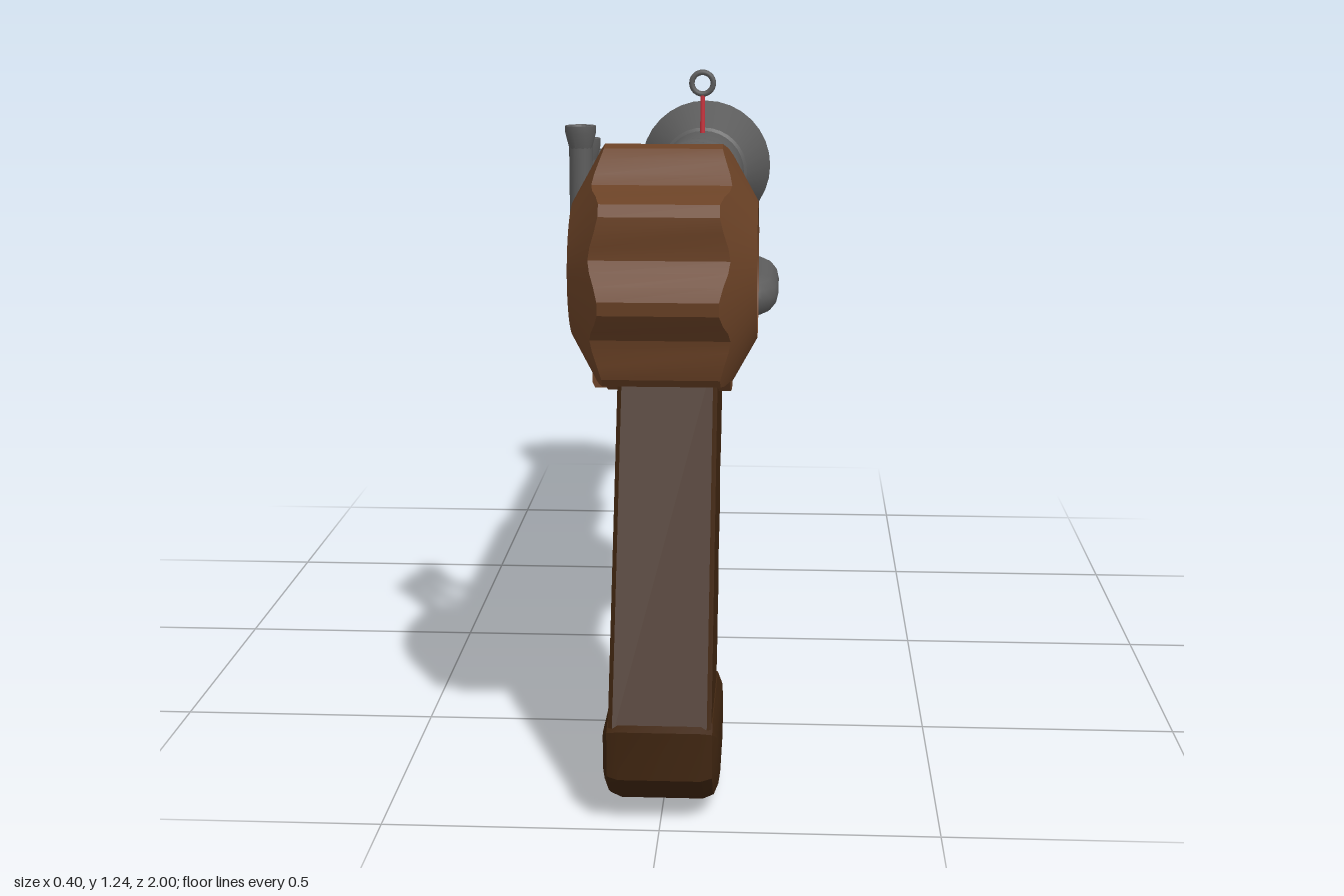
import * as THREE from 'three';
import { toCreasedNormals } from 'three/addons/utils/BufferGeometryUtils.js';

const mat = (color, extra = {}) => new THREE.MeshStandardMaterial({ color, ...extra });
const V = (x, y, z) => new THREE.Vector3(x, y, z);

export function createModel() {
  const group = new THREE.Group();
  const wood = mat(0x6b4226), woodFlat = mat(0x6b4226, { flatShading: true });
  const darkWood = mat(0x3f2510), metal = mat(0x5c5c5c), red = mat(0xc9343f);

  const add = (name, geometry, material, x = 0, y = 0, z = 0) => {
    const mesh = new THREE.Mesh(geometry, material);
    mesh.name = name;
    mesh.position.set(x, y, z);
    group.add(mesh);
    return mesh;
  };
  const shapeOf = (pts) => new THREE.Shape(pts.map(([a, b]) => new THREE.Vector2(a, b)));

  // Side profile of [z, y] points, extruded across x between -half and +half
  const sideExtrude = (pts, half, bevel, bevelSegments = 2, crease = 0.5) => {
    const g = new THREE.ExtrudeGeometry(shapeOf(pts), {
      depth: 2 * (half - bevel), bevelEnabled: bevel > 0, bevelSize: bevel,
      bevelThickness: bevel, bevelOffset: -bevel, bevelSegments,
    });
    g.translate(0, 0, -(half - bevel));
    g.rotateY(-Math.PI / 2);
    return toCreasedNormals(g, crease);
  };

  // Lathe of [radius, distance forward] points, pointing along -z
  const forwardLathe = (pts, segments = 32) => {
    const g = new THREE.LatheGeometry(pts.map(([r, d]) => new THREE.Vector2(r, d)), segments);
    g.rotateX(-Math.PI / 2);
    return toCreasedNormals(g, 0.5);
  };

  // Tube along straight runs with rounded corners
  const bentTube = (pts, radius, bend) => {
    const path = new THREE.CurvePath();
    let from = pts[0];
    for (let i = 1; i < pts.length - 1; i++) {
      const before = pts[i].clone().add(pts[i - 1].clone().sub(pts[i]).setLength(bend));
      const after = pts[i].clone().add(pts[i + 1].clone().sub(pts[i]).setLength(bend));
      path.add(new THREE.LineCurve3(from, before));
      path.add(new THREE.QuadraticBezierCurve3(before, pts[i], after));
      from = after;
    }
    path.add(new THREE.LineCurve3(from, pts[pts.length - 1]));
    return new THREE.TubeGeometry(path, 40, radius, 14, false);
  };

  const axisY = 0.975;

  // Body: rounded top, side panel on the right, notch on the left for the handle
  const section = (notched) => {
    const pts = [[-0.145, 0.72], [0.11, 0.72], [0.115, 0.73]];
    if (notched) pts.push([0.115, 0.79], [0.05, 0.79], [0.05, 0.915], [0.115, 0.915]);
    for (let i = 0; i <= 8; i++) {
      const a = (i / 8) * Math.PI;
      pts.push([0.115 * Math.cos(a), axisY + 0.115 * Math.sin(a)]);
    }
    pts.push([-0.15, 0.91], [-0.15, 0.73]);
    return shapeOf(pts);
  };
  [['bodyRear', 0.47, 0.61, false], ['bodyMiddle', 0.04, 0.47, true], ['bodyFront', -0.14, 0.04, false]]
    .forEach(([name, z0, z1, notched]) => {
      const g = new THREE.ExtrudeGeometry(section(notched), { depth: z1 - z0, bevelEnabled: false });
      add(name, g, woodFlat, 0, 0, z0);
    });
  add('bodyTail', sideExtrude([[0.58, 0.72], [0.62, 0.722], [0.67, 0.73], [0.71, 0.745],
    [0.75, 0.785], [0.75, 0.95], [0.58, 0.95]], 0.115, 0), wood);

  // Scalloped wheel: teeth around the rear, plain rim where it meets the body
  const wheelZ = 0.766, steps = 60;
  const rim = (deg) => (deg <= 139 ? 0.217 + 0.017 * Math.cos(((deg - 76) / 42) * 2 * Math.PI) : 0.2);
  const rings = [
    () => [0.148, 0.114], () => [0.165, 0.122],
    (R) => [0.165 - (R - 0.122) * 0.56, R],
    (R) => [-0.165 + (R - 0.122) * 0.56, R],
    () => [-0.165, 0.122], () => [-0.148, 0.114],
  ];
  const pos = [], idx = [];
  rings.forEach((ring, i) => {
    for (let j = 0; j < steps; j++) {
      const deg = -71 + j * 6, a = (deg * Math.PI) / 180;
      const [x, r] = ring(rim(deg));
      pos.push(x, r * Math.sin(a), r * Math.cos(a));
      if (i === rings.length - 1) continue;
      const p = i * steps + j, q = i * steps + ((j + 1) % steps);
      idx.push(p, q, p + steps, p + steps, q, q + steps);
    }
  });
  const wheel = new THREE.BufferGeometry();
  wheel.setAttribute('position', new THREE.Float32BufferAttribute(pos, 3));
  wheel.setIndex(idx);
  add('wheel', toCreasedNormals(wheel, 0.25), wood, 0, axisY, wheelZ);
  const disc = new THREE.CylinderGeometry(0.118, 0.118, 0.308, 40);
  add('wheelDiscs', disc, red, 0, axisY, wheelZ).rotation.z = Math.PI / 2;

  // Barrel with rippled rear part and hollow flared muzzle
  const barrel = [];
  for (let i = 0; i <= 40; i++) {
    const d = 0.13 + i * 0.011;
    barrel.push([0.103 + 0.007 * Math.cos(((d - 0.18) / 0.0875) * 2 * Math.PI), d]);
  }
  barrel.push([0.104, 0.59], [0.104, 0.785], [0.112, 0.79], [0.17, 0.93], [0.112, 1],
    [0.09, 1], [0.085, 0.8], [0.0001, 0.8]);
  add('barrel', forwardLathe(barrel), metal, 0, axisY, 0);
  add('lowerTube', forwardLathe([[0.055, 0.13], [0.057, 0.47], [0.05, 0.548], [0.043, 0.555],
    [0.03, 0.553], [0.026, 0.53], [0.0001, 0.53]], 24), metal, 0, 0.795, 0);

  // Sight pin and ring
  add('sightPin', new THREE.CylinderGeometry(0.006, 0.006, 0.11, 10), red, 0, 1.122, -0.727);
  add('sightRing', new THREE.TorusGeometry(0.027, 0.007, 10, 28), metal, 0, 1.204, -0.727);

  // Side handle in the notch
  add('sideHandle', bentTube([V(0.03, 0.86, 0.41), V(0.16, 0.86, 0.41), V(0.16, 0.86, 0.11),
    V(0.03, 0.86, 0.11)], 0.04, 0.06), metal);

  // Three bent pipes with flared mouths
  [[0.54, 1.21], [0.45, 1.178], [0.357, 1.146]].forEach(([z, top]) => {
    add('pipe', bentTube([V(-0.1, 0.96, z), V(-0.175, 0.96, z), V(-0.175, top - 0.01, z)], 0.022, 0.04), metal);
    const mouth = new THREE.LatheGeometry([[0.021, -0.045], [0.029, -0.014], [0.029, 0], [0.02, 0],
      [0.017, -0.008], [0.0001, -0.008]].map(([r, y]) => new THREE.Vector2(r, y)), 16);
    add('pipeMouth', toCreasedNormals(mouth, 0.5), metal, -0.175, top, z);
  });

  // Trigger guard and trigger
  const guard = new THREE.TorusGeometry(0.15, 0.032, 14, 32, Math.PI);
  guard.rotateZ(Math.PI);
  guard.rotateY(Math.PI / 2);
  add('triggerGuard', guard, metal, 0, 0.725, 0.427);
  add('trigger', sideExtrude([[0.49, 0.74], [0.46, 0.69], [0.41, 0.643], [0.435, 0.642],
    [0.465, 0.67], [0.49, 0.7], [0.52, 0.74]], 0.02, 0), metal);

  // Grip with finger grooves, and its rounded foot
  add('grip', sideExtrude([[0.995, 0.17], [0.72, 0.8], [0.43, 0.8], [0.465, 0.7], [0.50, 0.62],
    [0.535, 0.575], [0.573, 0.545], [0.577, 0.505], [0.572, 0.475], [0.605, 0.435], [0.632, 0.405],
    [0.636, 0.37], [0.63, 0.34], [0.665, 0.305], [0.68, 0.275], [0.682, 0.25], [0.715, 0.215],
    [0.72, 0.17]], 0.092, 0.008, 1), darkWood);
  add('gripFoot', sideExtrude([[1, 0.185], [1, 0.095], [0.96, 0.05], [0.91, 0.022], [0.8, 0],
    [0.675, 0.02], [0.635, 0.06], [0.628, 0.12], [0.665, 0.175], [0.71, 0.2], [0.97, 0.2]],
  0.102, 0.028, 2, 0.4), darkWood);

  return group;
}
